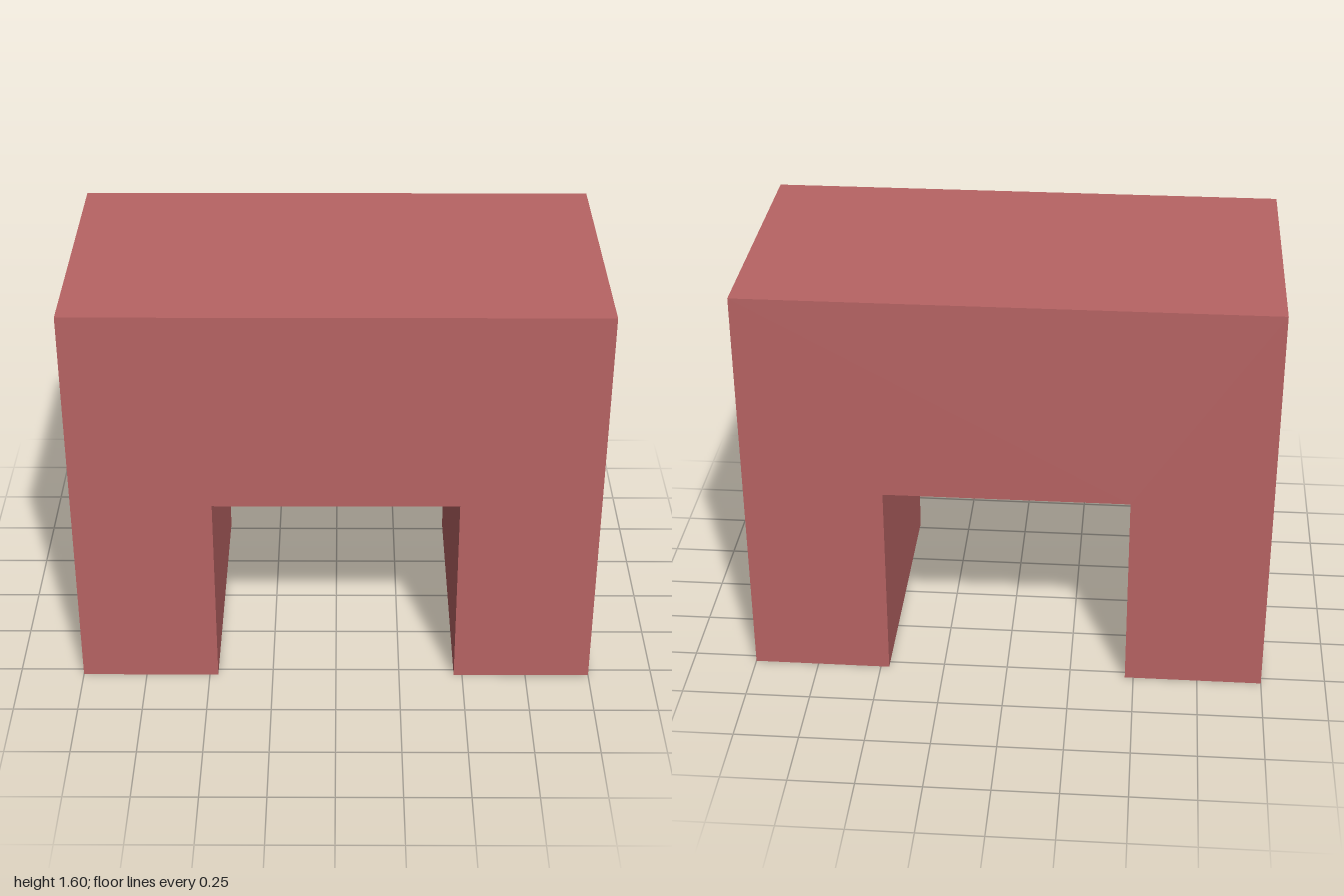
import * as THREE from 'three';

const HALF_WIDTH = 1, HEIGHT = 1.6, DEPTH = 1.066;
const OPENING_HALF = 0.467, OPENING_HEIGHT = 0.8;

export function createModel() {
  const group = new THREE.Group();
  group.name = 'archBlock';

  // Outline of the bridge-shaped block, counter-clockwise from the outer foot
  const outline = new THREE.Shape([
    [-HALF_WIDTH, 0],
    [-OPENING_HALF, 0],
    [-OPENING_HALF, OPENING_HEIGHT],
    [OPENING_HALF, OPENING_HEIGHT],
    [OPENING_HALF, 0],
    [HALF_WIDTH, 0],
    [HALF_WIDTH, HEIGHT],
    [-HALF_WIDTH, HEIGHT],
  ].map(([x, y]) => new THREE.Vector2(x, y)));

  // Solid block with a square passage running front to back
  const geometry = new THREE.ExtrudeGeometry(outline, { depth: DEPTH, bevelEnabled: false });
  geometry.translate(0, 0, -DEPTH / 2);

  const block = new THREE.Mesh(geometry, new THREE.MeshStandardMaterial({ color: 0xb86464 }));
  block.name = 'block';
  group.add(block);
  return group;
}
